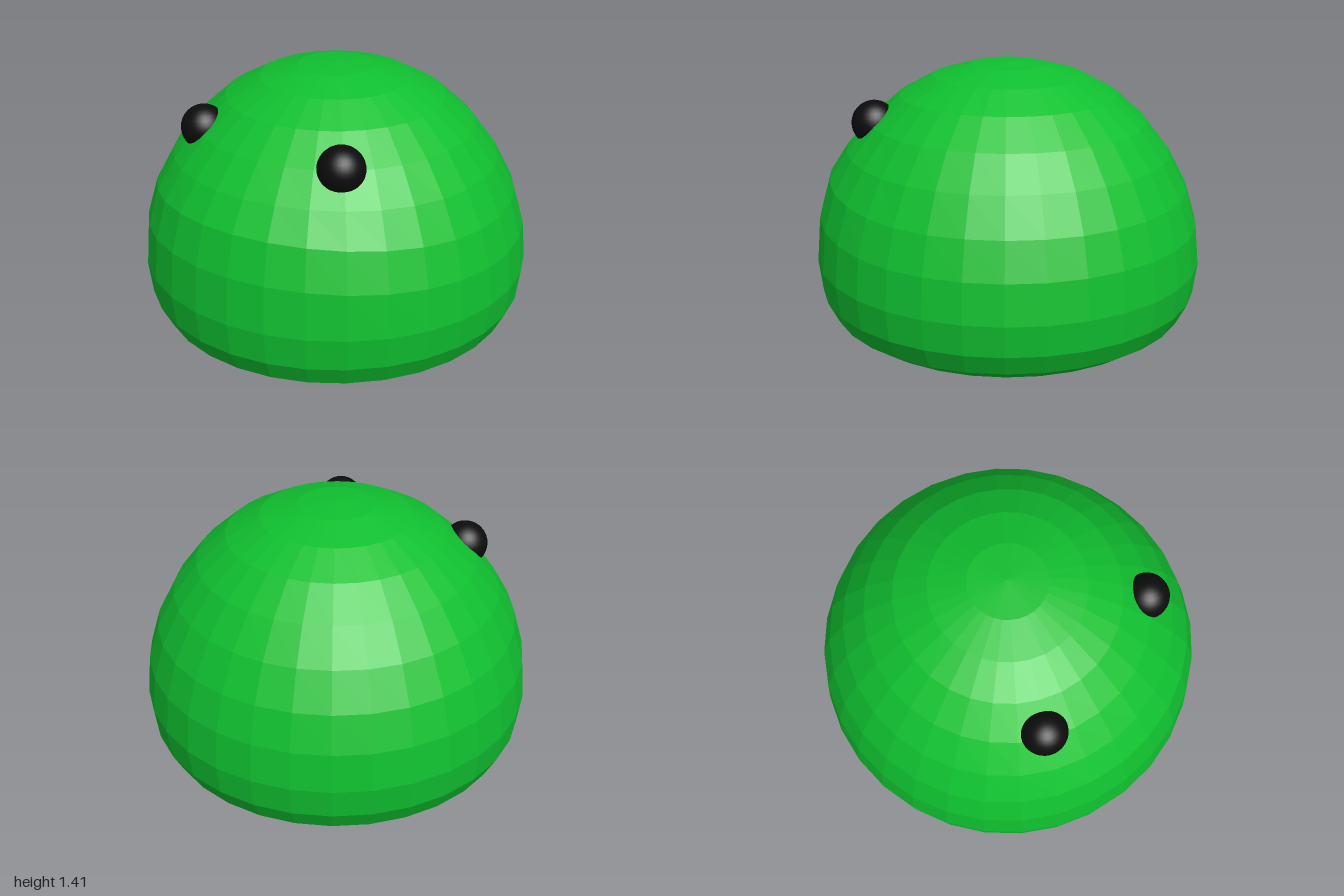
import * as THREE from 'three';

export function createModel() {
  const model = new THREE.Group();
  const green = new THREE.MeshStandardMaterial({ color: 0x10c030, flatShading: true });
  green.name = 'slime green';
  const black = new THREE.MeshStandardMaterial({ color: 0x0c0c0c });
  black.name = 'eye black';

  // Faceted dome body with a tucked, almost flat underside
  const profile = [
    [0, 0.005], [0.2, 0.008], [0.38, 0.02], [0.555, 0.033], [0.71, 0.045],
    [0.83, 0.067], [0.924, 0.13], [0.98, 0.24], [1, 0.4], [0.98, 0.6],
    [0.924, 0.785], [0.83, 0.965], [0.707, 1.125], [0.555, 1.26],
    [0.383, 1.352], [0.195, 1.405], [0, 1.42],
  ].map(([r, y]) => new THREE.Vector2(r, y));
  const bodyGeometry = new THREE.LatheGeometry(profile, 32);

  // Gentle lift across the front
  const p = bodyGeometry.attributes.position;
  for (let i = 0; i < p.count; i++) {
    const y = p.getY(i), front = Math.max(0, p.getZ(i));
    p.setY(i, y + 0.08 * front ** 2 * Math.exp(-(((y - 0.75) / 0.25) ** 2)));
  }
  const body = new THREE.Mesh(bodyGeometry, green);
  body.name = 'body';
  model.add(body);

  // Round eyes half sunk into the dome, slightly uneven
  const eyeGeometry = new THREE.SphereGeometry(0.115, 32, 16);
  const eyes = { leftEye: [0.37, 1.125, 0.575], rightEye: [-0.48, 1.13, 0.47] };
  for (const [name, position] of Object.entries(eyes)) {
    const eye = new THREE.Mesh(eyeGeometry, black);
    eye.name = name;
    eye.position.set(...position);
    model.add(eye);
  }
  return model;
}
